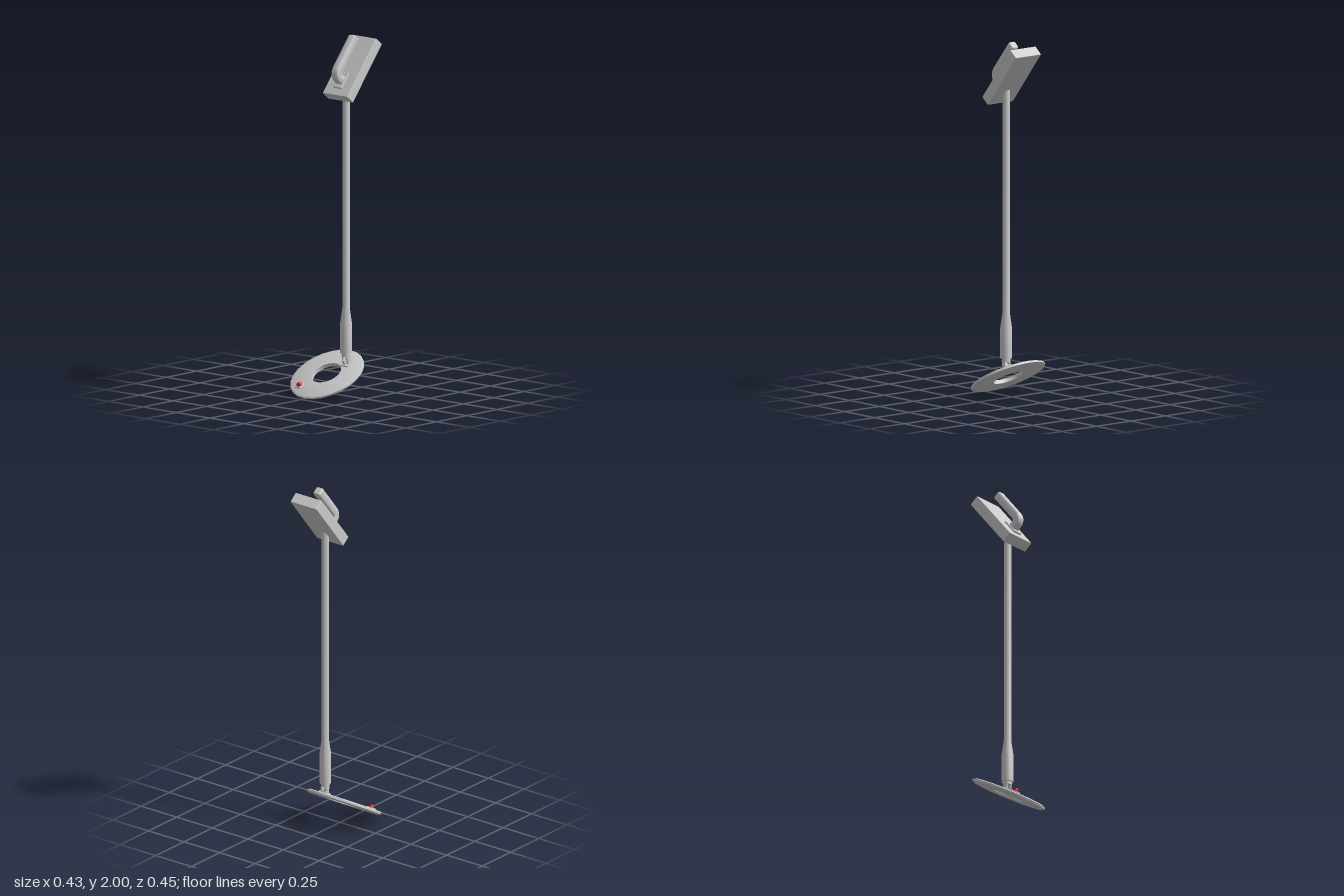
import * as THREE from 'three';
import { toCreasedNormals } from 'three/addons/utils/BufferGeometryUtils.js';
import { RoundedBoxGeometry } from 'three/addons/geometries/RoundedBoxGeometry.js';

const grey = new THREE.MeshStandardMaterial({ color: 0xcccccc });
const red = new THREE.MeshStandardMaterial({ color: 0xdd0808 });

function add(parent, name, geometry, x = 0, y = 0, z = 0, material = grey) {
  const mesh = new THREE.Mesh(geometry, material);
  mesh.name = name;
  mesh.position.set(x, y, z);
  parent.add(mesh);
  return mesh;
}

function lathe(points, sides) {
  const profile = points.map(([r, y]) => new THREE.Vector2(r, y));
  return toCreasedNormals(new THREE.LatheGeometry(profile, sides), 0.5);
}

function subGroup(parent, name, x, y, z, tilt) {
  const group = new THREE.Group();
  group.name = name;
  group.position.set(x, y, z);
  group.rotation.x = tilt;
  parent.add(group);
  return group;
}

export function createModel() {
  const model = new THREE.Group();
  const shaftX = 0.075, shaftZ = -0.035;

  // Tilted search ring with a thin chamfered rim
  const head = subGroup(model, 'searchHead', 0, 0.116, 0.037, THREE.MathUtils.degToRad(29.7));
  add(head, 'ring', lathe([
    [0.086, -0.011], [0.203, -0.011], [0.215, -0.006], [0.215, 0.004],
    [0.205, 0.009], [0.086, 0.011], [0.086, -0.011],
  ], 24));

  // Red indicator on its square base
  add(head, 'indicatorBase', new RoundedBoxGeometry(0.04, 0.012, 0.04, 2, 0.003), -0.09, 0.012, 0.138);
  add(head, 'indicator', new THREE.SphereGeometry(0.015, 20, 14), -0.09, 0.02, 0.138, red);

  // Hinge: foot and lug on the ring, fork and pin under the shaft
  add(head, 'hingeFoot', new THREE.BoxGeometry(0.05, 0.01, 0.05), shaftX, 0.014, -0.095);
  add(head, 'hingeLug', new THREE.BoxGeometry(0.014, 0.034, 0.03), shaftX, 0.03, -0.092);
  add(model, 'hingeCap', new THREE.CylinderGeometry(0.024, 0.024, 0.02, 20), shaftX, 0.227, shaftZ);
  for (const side of [-1, 1]) {
    const prong = add(model, 'hingeProng', new THREE.BoxGeometry(0.01, 0.05, 0.026),
      shaftX + side * 0.015, 0.2, shaftZ - 0.003);
    prong.rotation.x = 0.2;
  }
  const pin = add(model, 'hingePin', new THREE.CylinderGeometry(0.006, 0.006, 0.046, 12), shaftX, 0.195, shaftZ - 0.004);
  pin.rotation.z = Math.PI / 2;

  // Long shaft with a thicker tapered sleeve at the bottom
  add(model, 'shaft', lathe([
    [0, 0.235], [0.033, 0.235], [0.033, 0.4], [0.0205, 0.49], [0.0205, 1.75], [0, 1.75],
  ], 24), shaftX, 0, shaftZ);

  // Slanted control box
  const control = subGroup(model, 'controlUnit', 0.077, 1.82, -0.084, THREE.MathUtils.degToRad(-39));
  add(control, 'controlBox', new RoundedBoxGeometry(0.184, 0.38, 0.062, 2, 0.004));
  add(control, 'handlePlate', new RoundedBoxGeometry(0.062, 0.1, 0.014, 2, 0.003), -0.002, -0.097, 0.034);

  // Bent handle with a rounded square section
  const path = new THREE.CurvePath();
  const point = (y, z) => new THREE.Vector3(0, y, z);
  path.add(new THREE.LineCurve3(point(-0.1, 0.03), point(-0.1, 0.06)));
  path.add(new THREE.QuadraticBezierCurve3(point(-0.1, 0.06), point(-0.1, 0.098), point(-0.058, 0.098)));
  path.add(new THREE.LineCurve3(point(-0.058, 0.098), point(0.138, 0.098)));
  const h = 0.024, r = 0.011;
  const section = new THREE.Shape();
  section.absarc(h - r, h - r, r, 0, Math.PI / 2);
  section.absarc(r - h, h - r, r, Math.PI / 2, Math.PI);
  section.absarc(r - h, r - h, r, Math.PI, Math.PI * 1.5);
  section.absarc(h - r, r - h, r, Math.PI * 1.5, Math.PI * 2);
  const handle = new THREE.ExtrudeGeometry(section, { steps: 40, curveSegments: 4, extrudePath: path });
  add(control, 'handle', toCreasedNormals(handle, 0.6), -0.002);

  // Rounded end of the grip
  add(control, 'handleTip', new RoundedBoxGeometry(2 * h, 0.024, 2 * h, 3, 0.01), -0.002, 0.136, 0.098);

  return model;
}
